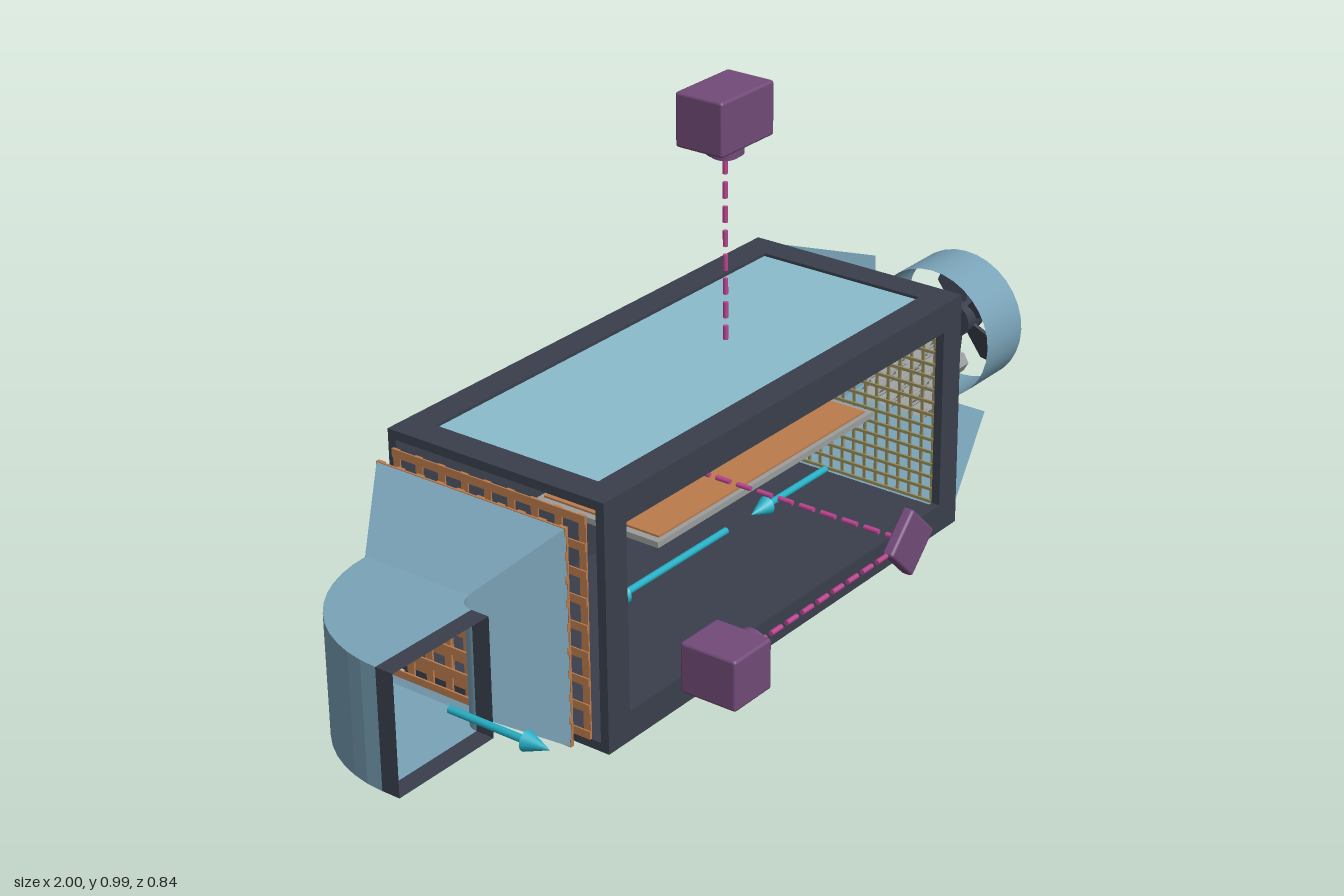
import * as THREE from 'three';
import { RoundedBoxGeometry } from 'three/addons/geometries/RoundedBoxGeometry.js';

const mat = (name, color, double = false) => {
  const m = new THREE.MeshStandardMaterial({ color });
  m.name = name;
  if (double) m.side = THREE.DoubleSide;
  return m;
};

export function createModel() {
  const M = {
    frame: mat('charcoal', 0x3a3f4d, true),
    duct: mat('ductBlue', 0x7aa3b8, true),
    glass: mat('glassBlue', 0x8abccb),
    purple: mat('purple', 0x714a78),
    beam: mat('magenta', 0xbb4590),
    arrow: mat('cyan', 0x25afc4),
    copper: mat('copper', 0xbb7b4c),
    grey: mat('grey', 0x9b9e9e, true),
    khaki: mat('khaki', 0x968c5c),
  };
  const CY = 0.25, CZ = -0.175;
  const V = (x, y, z) => new THREE.Vector3(x, y, z);
  const model = new THREE.Group();
  model.name = 'windTunnel';

  const add = (name, geo, material, parent = model) => {
    const mesh = new THREE.Mesh(geo, material);
    mesh.name = name;
    parent.add(mesh);
    return mesh;
  };
  const group = (name) => {
    const g = new THREE.Group();
    g.name = name;
    model.add(g);
    return g;
  };
  // Box given by its extents
  const box = (name, x0, x1, y0, y1, z0, z1, material, parent) => {
    const m = add(name, new THREE.BoxGeometry(x1 - x0, y1 - y0, z1 - z0), material, parent);
    m.position.set((x0 + x1) / 2, (y0 + y1) / 2, (z0 + z1) / 2);
    return m;
  };
  // Cylinder or cone between two points
  const rod = (name, a, b, r0, r1, material, parent, seg = 12) => {
    const d = b.clone().sub(a);
    const m = add(name, new THREE.CylinderGeometry(r1, r0, d.length(), seg), material, parent);
    m.position.copy(a).addScaledVector(d, 0.5);
    m.quaternion.setFromUnitVectors(V(0, 1, 0), d.normalize());
    return m;
  };
  // Flat-sided duct through four-corner sections; sides: 0 bottom, 1 front, 2 top, 3 back
  const loft = (name, sections, material, sides = [0, 1, 2, 3]) => {
    const pos = [];
    for (let k = 0; k < sections.length - 1; k++) {
      for (const i of sides) {
        const j = (i + 1) % 4, s = sections[k], t = sections[k + 1];
        for (const p of [s[i], s[j], t[j], s[i], t[j], t[i]]) pos.push(p.x, p.y, p.z);
      }
    }
    const g = new THREE.BufferGeometry();
    g.setAttribute('position', new THREE.Float32BufferAttribute(pos, 3));
    g.computeVertexNormals();
    return add(name, g, material);
  };
  const square = (x, h) => [V(x, CY - h, CZ - h), V(x, CY - h, CZ + h),
    V(x, CY + h, CZ + h), V(x, CY + h, CZ - h)];

  // Test section: solid floor and back, framed window in front and glazed roof
  const body = group('testSection');
  const X0 = -0.525, X1 = 0.58, H = 0.495, ZB = -0.42, ZF = 0.072, T = 0.018, W = 0.06;
  const windowFrame = (name, depth) => {
    const w = X1 - X0;
    const s = new THREE.Shape([[0, 0], [w, 0], [w, depth], [0, depth]].map(p => new THREE.Vector2(...p)));
    s.holes.push(new THREE.Path([[W, W], [W, depth - W], [w - W, depth - W], [w - W, W]]
      .map(p => new THREE.Vector2(...p))));
    return add(name, new THREE.ExtrudeGeometry(s, { depth: T, bevelEnabled: false }), M.frame, body);
  };
  windowFrame('frontFrame', H).position.set(X0, 0, ZF - T);
  const roof = windowFrame('roofFrame', ZF - ZB);
  roof.rotation.x = -Math.PI / 2;
  roof.position.set(X0, H - T, ZF);
  box('roofGlass', X0 + W, X1 - W, H - 0.014, H - 0.006, ZB + W, ZF - W, M.glass, body);
  box('floor', X0, X1, 0.005, T, ZB + 0.005, ZF, M.frame, body);
  box('backWall', X0, X1, 0.005, H, ZB + 0.005, ZB + T, M.frame, body);
  for (const [a, b] of [[X0, X0 + W], [X1 - W, X1]]) {
    box('floorEndTrim', a, b, 0, 0.006, ZB + 0.01, ZF, M.frame, body);
    box('backEndTrim', a, b, 0.01, H, ZB, ZB + 0.006, M.frame, body);
  }

  // Woven screens at both ends
  const screen = (name, x, half, n, w, t, material) => {
    const g = group(name);
    for (let i = 0; i < n; i++) {
      const o = -half + w / 2 + (2 * half - w) * i / (n - 1);
      box('wire', x - t, x, CY + o - w / 2, CY + o + w / 2, CZ - half, CZ + half, material, g);
      box('wire', x, x + t, CY - half, CY + half, CZ + o - w / 2, CZ + o + w / 2, material, g);
    }
  };
  screen('outletScreen', -0.541, 0.22, 9, 0.016, 0.003, M.copper);
  screen('diffuserScreen', -0.586, 0.215, 10, 0.016, 0.004, M.copper);
  screen('inletScreen', 0.574, 0.222, 17, 0.006, 0.004, M.khaki);

  // Cut-away inlet cone, fan duct and flow straightener
  loft('inletCone', [square(0.585, 0.235), square(0.85, 0.14)], M.duct, [0, 3]);
  const fanDuct = add('fanDuct', new THREE.CylinderGeometry(0.142, 0.142, 0.13, 32, 1, true), M.duct);
  fanDuct.rotation.z = -Math.PI / 2;
  fanDuct.position.set(0.915, CY, CZ);

  const comb = group('honeycomb');
  const pitch = 0.041, cell = new THREE.CylinderGeometry(0.0225, 0.0225, 0.05, 6, 1, true).toNonIndexed();
  cell.computeVertexNormals();
  cell.rotateZ(-Math.PI / 2);
  for (let r = -3; r <= 3; r++) {
    const n = 7 - Math.abs(r);
    for (let i = 0; i < n; i++) {
      add('honeycombCell', cell, M.grey, comb)
        .position.set(0.748, CY + r * pitch * 0.866, CZ + (i - (n - 1) / 2) * pitch);
    }
  }

  // Five-bladed fan
  const fan = group('fan');
  fan.position.set(0.96, CY, CZ + 0.004);
  rod('fanHub', V(-0.025, 0, 0), V(0.035, 0, 0), 0.036, 0.036, M.frame, fan, 24);
  const bladeShape = new THREE.Shape([[0.025, -0.014], [0.085, -0.036], [0.122, -0.012],
    [0.124, 0.008], [0.09, 0.034], [0.025, 0.014]].map(p => new THREE.Vector2(...p)));
  const blade = new THREE.ExtrudeGeometry(bladeShape, { depth: 0.008, bevelEnabled: false });
  blade.rotateX(0.25).rotateY(Math.PI / 2);
  for (let i = 0; i < 5; i++) {
    add('fanBlade', blade, M.frame, fan).rotation.x = 0.08 + i * Math.PI * 2 / 5;
  }

  // Outlet diffuser, quarter-turn elbow and dark rim
  loft('diffuser', [square(-0.588, 0.215), square(-0.73, 0.1175)], M.duct);
  const elbowSection = (t, z = 0) => {
    const p = (R, y) => V(-0.73 - R * Math.sin(t), y, -0.02 - R * Math.cos(t) + z);
    return [p(0.27, 0.1325), p(0.035, 0.1325), p(0.035, 0.3675), p(0.27, 0.3675)];
  };
  const arc = [];
  for (let i = 0; i <= 12; i++) arc.push(elbowSection(i / 12 * Math.PI / 2));
  loft('elbow', arc, M.duct);
  loft('outletRim', [elbowSection(Math.PI / 2), elbowSection(Math.PI / 2, 0.038)], M.frame);

  // Flat plate specimen and its hanger
  box('plate', -0.25, 0.43, 0.26, 0.272, -0.32, -0.03, M.grey);
  box('plateSurface', -0.235, 0.415, 0.272, 0.276, -0.31, -0.04, M.copper);
  box('plateHanger', 0.395, 0.415, 0.272, H - T, -0.32, -0.3, M.grey);

  // Flow arrows
  const arrow = (a, b) => {
    const g = group('flowArrow');
    const neck = b.clone().addScaledVector(a.clone().sub(b).normalize(), 0.05);
    rod('arrowShaft', a, neck, 0.007, 0.007, M.arrow, g);
    rod('arrowHead', neck, b, 0.019, 0, M.arrow, g, 16);
  };
  arrow(V(0.045, 0.15, -0.1), V(-0.315, 0.15, -0.1));
  arrow(V(0.37, 0.15, -0.1), V(0.125, 0.15, -0.1));
  arrow(V(-0.883, CY, 0.03), V(-0.883, CY, 0.245));

  // Cameras with stepped lenses
  const camera = (name, size, centre, dir) => {
    const g = group(name);
    add('cameraBody', new RoundedBoxGeometry(...size, 2, 0.006), M.purple, g).position.copy(centre);
    const at = d => centre.clone().addScaledVector(dir, d);
    rod('lensBarrel', at(0.05), at(0.076), 0.036, 0.036, M.purple, g, 24);
    rod('lensTip', at(0.076), at(0.083), 0.026, 0.026, M.purple, g, 24);
    rod('lensGlass', at(0.083), at(0.085), 0.022, 0.022, M.beam, g, 24);
  };
  camera('topCamera', [0.16, 0.107, 0.108], V(0.15, 0.941, -0.178), V(0, -1, 0));
  camera('sideCamera', [0.102, 0.096, 0.115], V(-0.569, 0.302, 0.363), V(1, 0, 0));

  // Tilted mirror
  const mirror = add('mirror', new RoundedBoxGeometry(0.096, 0.096, 0.024, 2, 0.006), M.purple);
  mirror.position.set(-0.027, 0.302, 0.36);
  mirror.rotation.z = Math.PI / 4;

  // Dashed sight lines
  const dashed = (a, b) => {
    const g = group('sightLine');
    const len = a.distanceTo(b), n = Math.round(len / 0.047);
    for (let i = 0; i < n; i++) {
      rod('dash', a.clone().lerp(b, i / n), a.clone().lerp(b, (i + 0.66) / n), 0.005, 0.005, M.beam, g, 8);
    }
  };
  dashed(V(0.15, 0.855, -0.178), V(0.15, 0.276, -0.178));
  dashed(V(-0.484, 0.302, 0.36), V(-0.08, 0.302, 0.36));
  dashed(V(-0.027, 0.302, 0.345), V(-0.027, 0.302, -0.178));

  return model;
}
